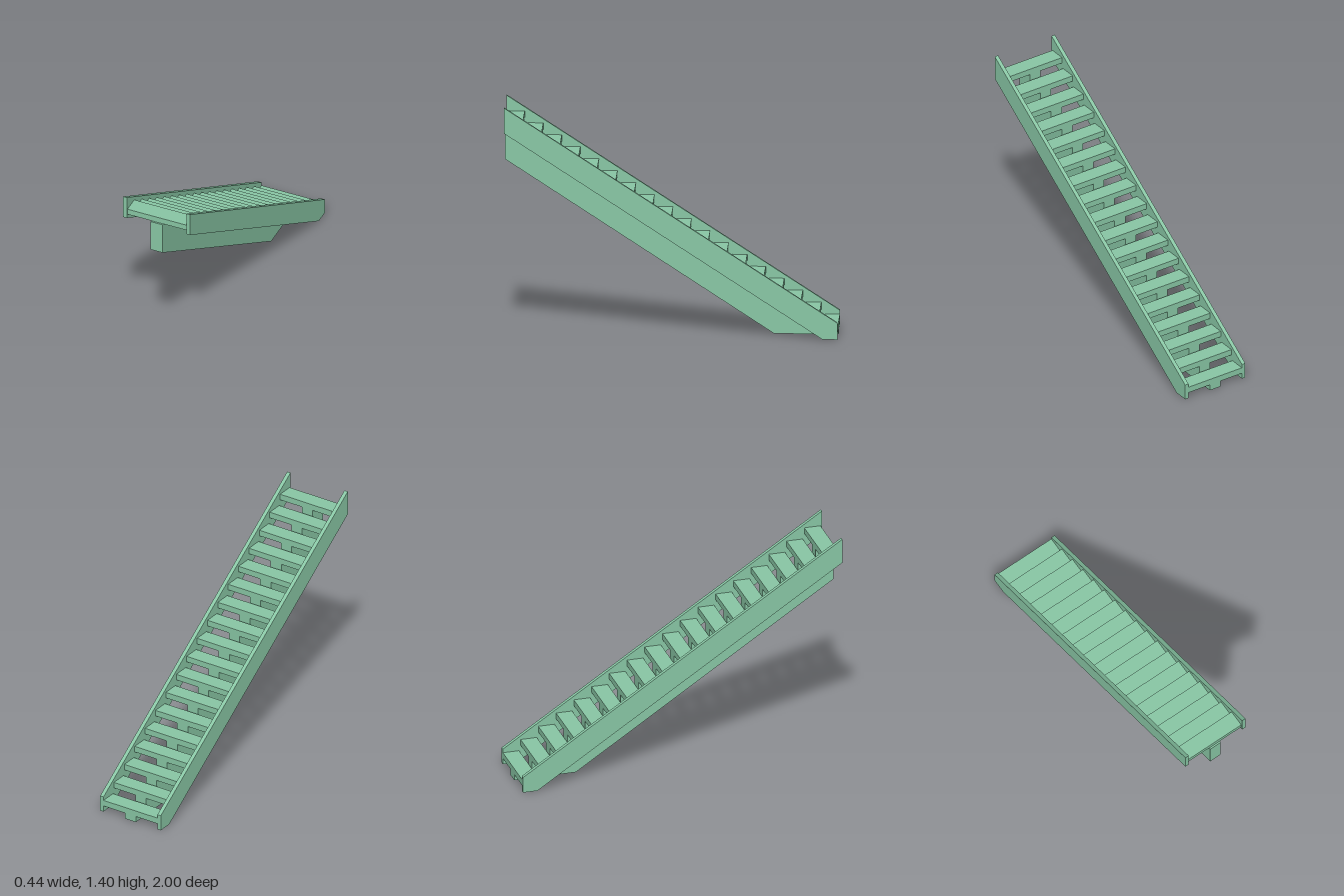
import * as THREE from 'three';

const STEPS = 18;
const RUN = 2 / STEPS;
const RISE = 1.3 / STEPS;
const TREAD_THICK = 0.038;
const treadTop = (i) => RISE * (i + 1) + 0.004;

const material = new THREE.MeshStandardMaterial({ color: 0x88c6a4, flatShading: true });

// Plate with a [z, y] outline, extruded across x and centred on x
function plate(name, outline, width, x) {
  const shape = new THREE.Shape(outline.map(([z, y]) => new THREE.Vector2(z, y)));
  const geometry = new THREE.ExtrudeGeometry(shape, { depth: width, bevelEnabled: false });
  geometry.translate(0, 0, -width / 2).rotateY(-Math.PI / 2);
  const mesh = new THREE.Mesh(geometry, material);
  mesh.name = name;
  mesh.position.x = x;
  return mesh;
}

export function createModel() {
  const stairs = new THREE.Group();
  stairs.name = 'staircase';

  // Side stringers
  const side = [[-1, 0], [-0.91, 0], [1, 1.245], [1, 1.4], [-1, 0.1]];
  stairs.add(plate('leftStringer', side, 0.024, 0.207));
  stairs.add(plate('rightStringer', side, 0.024, -0.207));

  // Central beam, notched to carry each tread
  const beam = [[-1, 0], [-0.614, 0], [1, 1.055]];
  for (let i = STEPS - 1; i >= 0; i--) {
    const y = treadTop(i) - TREAD_THICK;
    beam.push([-1 + (i + 1) * RUN, y], [-1 + i * RUN, y]);
  }
  stairs.add(plate('centreBeam', beam, 0.077, 0));

  // Treads
  const treads = new THREE.Group();
  treads.name = 'treads';
  const depth = 0.101;
  const treadGeometry = new THREE.BoxGeometry(0.39, TREAD_THICK, depth);
  for (let i = 0; i < STEPS; i++) {
    const tread = new THREE.Mesh(treadGeometry, material);
    tread.name = `tread${i + 1}`;
    tread.position.set(0, treadTop(i) - TREAD_THICK / 2, -1 + i * RUN + depth / 2);
    treads.add(tread);
  }
  stairs.add(treads);

  return stairs;
}
